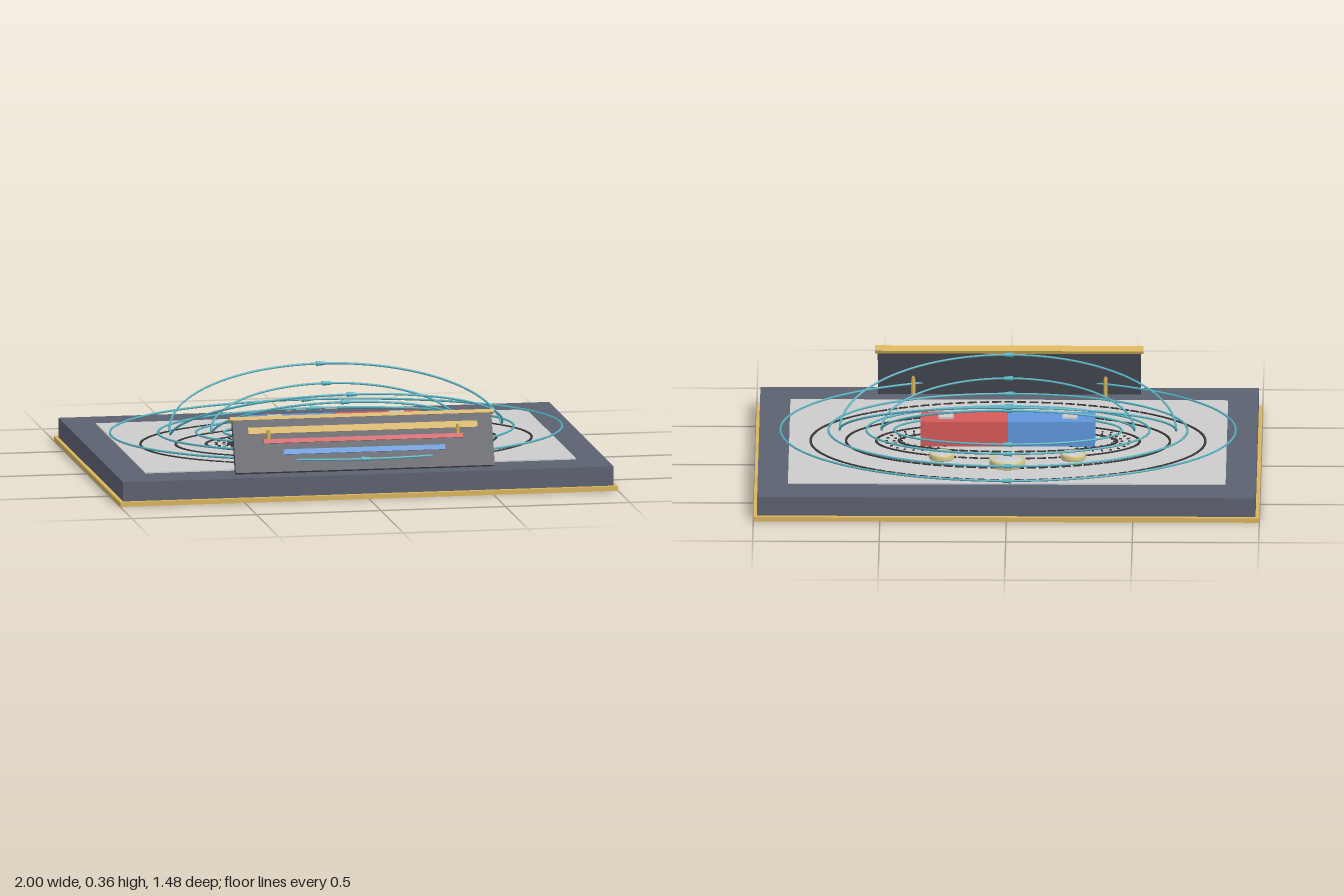
import * as THREE from 'three';
import { mergeGeometries } from 'three/addons/utils/BufferGeometryUtils.js';

const mat = (color) => new THREE.MeshStandardMaterial({ color });
const slate = mat(0x5b6170), panelGrey = mat(0x50545e), gold = mat(0xd9b45c), brass = mat(0xd8c98a);
const grey = mat(0xcccccc), red = mat(0xd65a5a), blue = mat(0x5f97dc), iron = mat(0x3c3838), teal = mat(0x58b4c4);

function add(parent, name, geometry, material, x = 0, y = 0, z = 0) {
  const mesh = new THREE.Mesh(geometry, material);
  mesh.name = name;
  mesh.position.set(x, y, z);
  parent.add(mesh);
  return mesh;
}
const box = (w, h, d) => new THREE.BoxGeometry(w, h, d);

// Filings: short bars laid along an ellipse on the paper
function filingRing(cx, a, b, count, length, width, across = false) {
  const bars = [];
  for (let i = 0; i < count; i++) {
    const t = (i / count) * Math.PI * 2;
    const heading = Math.atan2(-b * Math.cos(t), -a * Math.sin(t)) + (across ? Math.PI / 2 : 0);
    const bar = box(length, 0.004, width);
    bar.rotateY(heading);
    bar.translate(cx + a * Math.cos(t), 0.102, b * Math.sin(t));
    bars.push(bar);
  }
  return mergeGeometries(bars);
}

// Field line: a whole or half ellipse swung up about the x axis
function fieldLine(parent, a, b, tilt, side, whole) {
  const points = [];
  const n = whole ? 72 : 40;
  for (let i = 0; i < (whole ? n : n + 1); i++) {
    const t = (i / n) * Math.PI * (whole ? 2 : 1);
    const r = b * Math.sin(t);
    points.push(new THREE.Vector3(a * Math.cos(t), 0.147 + r * Math.sin(tilt), side * r * Math.cos(tilt)));
  }
  const curve = new THREE.CatmullRomCurve3(points, whole);
  add(parent, 'fieldLine', new THREE.TubeGeometry(curve, whole ? 120 : 64, 0.0045, 6, whole), teal);
  for (const s of whole ? [1, -1] : [side]) {
    const marker = new THREE.CylinderGeometry(0.007, 0.01, 0.036, 10);
    marker.rotateZ(-Math.PI / 2);
    add(parent, 'directionMarker', marker, teal, 0, 0.147 + b * Math.sin(tilt), s * b * Math.cos(tilt));
  }
}

export function createModel() {
  const model = new THREE.Group();
  model.name = 'magnetFieldDisplay';

  // Plinth and paper
  add(model, 'baseTrim', box(2, 0.018, 1.48), gold, 0, 0.009, 0);
  add(model, 'baseSlab', box(1.97, 0.093, 1.44), slate, 0, 0.0485, 0);
  add(model, 'paper', box(1.73, 0.006, 1.095), grey, 0, 0.097, -0.002);

  // Bar magnet
  const magnet = new THREE.Group();
  magnet.name = 'barMagnet';
  model.add(magnet);
  for (const s of [1, -1]) {
    add(magnet, 'magnetPole', box(0.345, 0.102, 0.136), s > 0 ? red : blue, s * 0.1725, 0.151, 0);
    add(magnet, 'poleInset', box(0.06, 0.008, 0.06), grey, s * 0.245, 0.205, 0);
  }

  // Iron filings
  const filings = new THREE.Group();
  filings.name = 'ironFilings';
  model.add(filings);
  [[0.43, 0.14, 60], [0.52, 0.232, 72], [0.64, 0.355, 84], [0.78, 0.51, 100]].forEach(([a, b, n]) =>
    add(filings, 'filingRing', filingRing(0, a, b, n, 0.036, 0.009), iron));
  for (const s of [1, -1]) {
    for (const [r, n] of [[0.065, 14], [0.095, 18], [0.125, 22]])
      add(filings, 'poleFilings', filingRing(s * 0.355, r, r, n, 0.011, 0.006, true), iron);
  }

  // Field lines: flat loops and raised arches
  const field = new THREE.Group();
  field.name = 'fieldLines';
  model.add(field);
  for (const [a, b] of [[0.45, 0.188], [0.56, 0.312], [0.71, 0.474], [0.9, 0.665]])
    fieldLine(field, a, b, 0, 1, true);
  for (const side of [1, -1]) {
    fieldLine(field, 0.665, 0.4, 0.53, side, false);
    fieldLine(field, 0.5, 0.257, 0.61, side, false);
  }

  // Compasses: brass cup with a low glass dome
  const compasses = [[0, -0.312, 0.07, 0.029], [0, 0.3, 0.05, 0.024]];
  for (const x of [-0.26, 0.26]) for (const z of [-0.222, 0.22]) compasses.push([x, z, 0.05, 0.024]);
  for (const [x, z, r, h] of compasses) {
    const compass = new THREE.Group();
    compass.name = 'compass';
    compass.position.set(x, 0.1, z);
    model.add(compass);
    const profile = [[0, 0], [r * 0.96, 0], [r, 0.004], [r, h * 0.75], [r * 0.96, h * 0.95], [r * 0.9, h], [r * 0.86, h * 0.9]];
    add(compass, 'compassCup', new THREE.LatheGeometry(profile.map((p) => new THREE.Vector2(...p)), 32), brass);
    const dome = add(compass, 'compassGlass', new THREE.SphereGeometry(r * 0.94, 32, 10, 0, Math.PI * 2, 0, Math.PI / 2), grey, 0, h * 0.7, 0);
    dome.scale.y = (h * 0.45) / (r * 0.94);
  }

  // Leaning sign panel
  const sign = new THREE.Group();
  sign.name = 'signPanel';
  sign.position.set(0, 0.198, 0.603);
  sign.rotation.x = -0.39;
  model.add(sign);
  add(sign, 'panel', box(1.04, 0.212, 0.025), panelGrey);
  add(sign, 'panelCap', box(1.06, 0.014, 0.034), gold, 0, 0.113, 0);
  [['titleStrip', 0.92, 0.026, 0.062, gold], ['redStrip', 0.8, 0.017, 0.018, red], ['blueStrip', 0.65, 0.02, -0.027, blue]]
    .forEach(([name, w, h, y, m]) => add(sign, name, box(w, h, 0.008), m, 0, y, 0.0145));

  // Sign posts
  for (const x of [-0.38, 0.38])
    add(model, 'signPost', new THREE.CylinderGeometry(0.008, 0.008, 0.17, 12), gold, x, 0.18, 0.604);

  return model;
}
